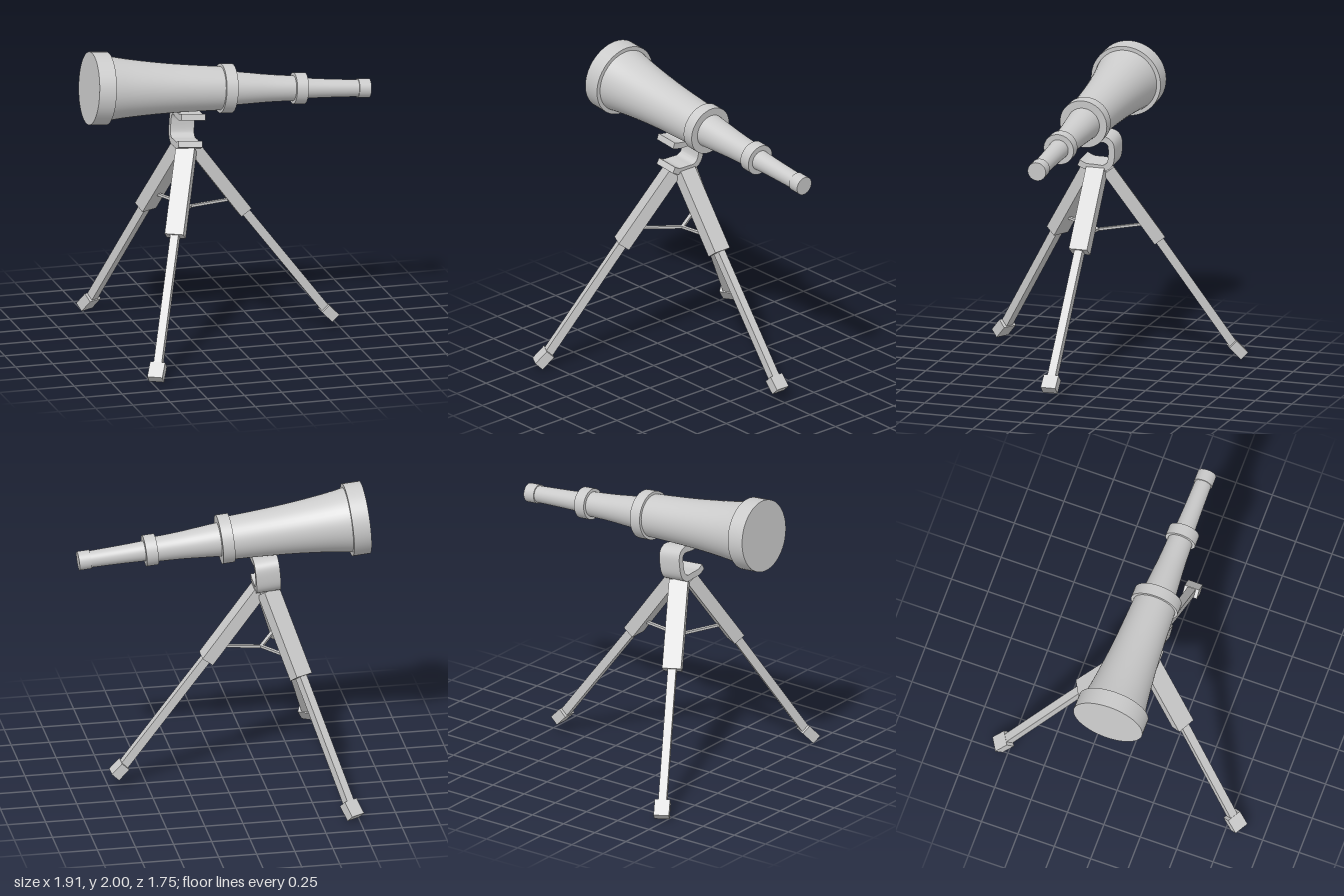
import * as THREE from 'three';
import { toCreasedNormals } from 'three/addons/utils/BufferGeometryUtils.js';

const material = new THREE.MeshStandardMaterial({ color: 0xcccccc });
const TILT = 0.086; // downward slope of the tube towards the eyepiece
const V = (x, y, z) => new THREE.Vector3(x, y, z);

function add(parent, name, geometry) {
  const mesh = new THREE.Mesh(geometry, material);
  mesh.name = name;
  parent.add(mesh);
  return mesh;
}

// Square beam from a to b: width is horizontal, depth is across it
function beam(parent, name, a, b, width, depth) {
  const dir = b.clone().sub(a);
  const mesh = add(parent, name, new THREE.BoxGeometry(width, dir.length(), depth));
  dir.normalize();
  const side = V(0, 1, 0).cross(dir).normalize();
  const normal = side.clone().cross(dir);
  mesh.quaternion.setFromRotationMatrix(new THREE.Matrix4().makeBasis(side, dir, normal));
  mesh.position.copy(a).add(b).multiplyScalar(0.5);
}

// Telescope built along +y from the large end, then laid along the slope
function makeTelescope() {
  const tube = new THREE.Group();
  tube.name = 'telescope';
  const ring = (name, s0, s1, r) =>
    add(tube, name, new THREE.CylinderGeometry(r, r, s1 - s0, 48)).position.y = (s0 + s1) / 2;
  const barrel = (name, profile) => {
    const curve = new THREE.SplineCurve(profile.map(([r, s]) => new THREE.Vector2(r, s)));
    add(tube, name, new THREE.LatheGeometry(curve.getPoints(16), 48));
  };
  ring('objectiveCap', 0, 0.115, 0.237);
  barrel('mainBarrel', [[0.213, 0.1], [0.19, 0.25], [0.168, 0.45], [0.153, 0.65], [0.14, 0.91]]);
  ring('largeRing', 0.882, 0.96, 0.16);
  barrel('middleBarrel', [[0.112, 0.94], [0.1, 1.08], [0.088, 1.23], [0.08, 1.41]]);
  ring('smallRing', 1.375, 1.452, 0.102);
  barrel('eyepieceBarrel', [[0.067, 1.43], [0.06, 1.6], [0.054, 1.84]]);
  ring('eyepiece', 1.808, 1.887, 0.062);
  tube.rotation.z = -Math.PI / 2 - TILT;
  tube.position.set(-0.934, 1.764, 0.003);
  return tube;
}

// C-shaped bracket: a band of even thickness along a curve, extruded in x
function makeBracket() {
  const path = new THREE.CatmullRomCurve3([
    [0.13, 1.548], [0.07, 1.532], [0, 1.53], [-0.07, 1.535], [-0.105, 1.51],
    [-0.112, 1.44], [-0.098, 1.37], [-0.06, 1.34], [0, 1.34], [0.07, 1.343], [0.115, 1.364],
  ].map(([z, y]) => V(-z, y - 1.45, 0)));
  const inner = [], outer = [], half = 0.021, steps = 48;
  for (let i = 0; i <= steps; i++) {
    const p = path.getPoint(i / steps), t = path.getTangent(i / steps);
    outer.push(new THREE.Vector2(p.x - t.y * half, p.y + t.x * half));
    inner.unshift(new THREE.Vector2(p.x + t.y * half, p.y - t.x * half));
  }
  const geometry = new THREE.ExtrudeGeometry(new THREE.Shape([...outer, ...inner]),
    { depth: 0.16, bevelEnabled: false });
  geometry.translate(0, 0, -0.08).rotateY(Math.PI / 2);
  const group = new THREE.Group();
  const mesh = add(group, 'bracket', toCreasedNormals(geometry, 0.6));
  mesh.position.set(-0.278, 1.45, 0);
  mesh.rotation.z = -TILT;
  return mesh;
}

// One leg: sleeve, sliding rod, foot block and the brace to the centre
function makeLeg(name, top, sleeveEnd, footTop, footEnd, braceEnd) {
  const leg = new THREE.Group();
  leg.name = name;
  beam(leg, 'sleeve', top, sleeveEnd, 0.124, 0.084);
  const rodTop = sleeveEnd.clone().lerp(top, 0.1);
  beam(leg, 'rod', rodTop, footTop.clone().lerp(footEnd, 0.15), 0.054, 0.056);
  beam(leg, 'foot', footTop, footEnd, 0.1, 0.066);
  beam(leg, 'brace', V(-0.255, 0.908, 0), braceEnd, 0.022, 0.016);
  return leg;
}

export function createModel() {
  const model = new THREE.Group();
  model.name = 'telescopeOnTripod';
  model.add(makeTelescope(), makeBracket());

  const tripod = new THREE.Group();
  tripod.name = 'tripod';
  for (const [name, s] of [['frontLeg', 1], ['backLeg', -1]]) {
    tripod.add(makeLeg(name, V(-0.295, 1.31, 0.05 * s), V(-0.455, 0.825, 0.345 * s),
      V(-0.688, 0.105, 0.765 * s), V(-0.726, 0.025, 0.83 * s), V(-0.425, 0.93, 0.29 * s)));
  }
  tripod.add(makeLeg('sideLeg', V(-0.235, 1.31, 0), V(0.107, 0.85, 0),
    V(0.643, 0.148, 0), V(0.71, 0.078, 0), V(0.05, 0.935, 0)));
  model.add(tripod);
  return model;
}
